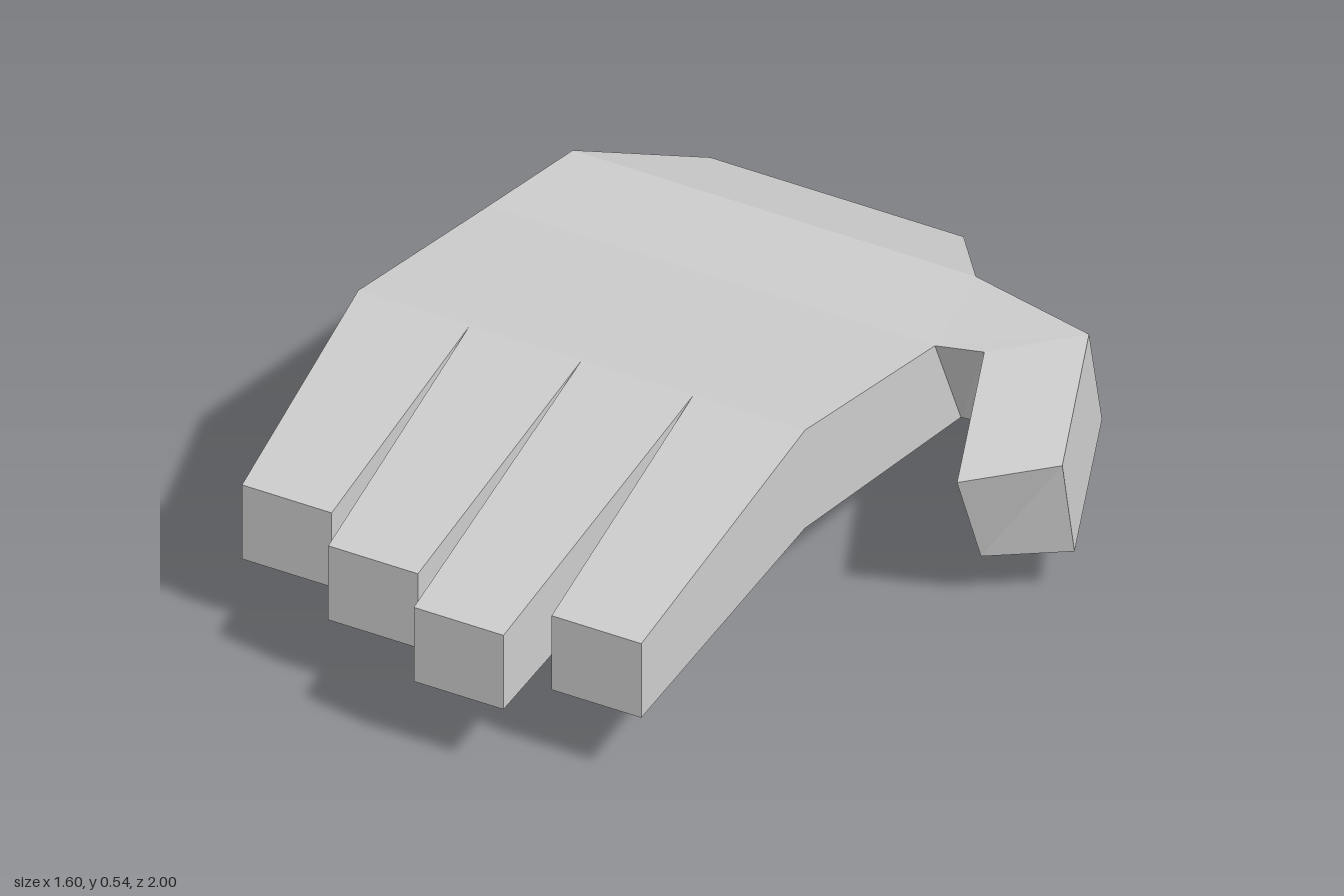
import * as THREE from 'three';

// Lofts four-cornered sections (top first, top second, bottom second, bottom first).
function loft(sections, { startCap = false, endCap = false } = {}) {
  const pos = [];
  const quad = (a, b, c, d) => pos.push(...a, ...b, ...c, ...a, ...c, ...d);
  for (let s = 0; s < sections.length - 1; s++) {
    const a = sections[s], b = sections[s + 1];
    for (let i = 0; i < 4; i++) {
      const j = (i + 1) % 4;
      quad(a[i], b[i], b[j], a[j]);
    }
  }
  if (startCap) quad(...sections[0]);
  if (endCap) quad(...[...sections[sections.length - 1]].reverse());
  const geo = new THREE.BufferGeometry();
  geo.setAttribute('position', new THREE.Float32BufferAttribute(pos, 3));
  geo.computeVertexNormals();
  return geo;
}

// Section across x, with separate depths for its top and bottom edges.
const across = (x0, x1, yTop, zTop, yBottom, zBottom = zTop) => [
  [x0, yTop, zTop], [x1, yTop, zTop], [x1, yBottom, zBottom], [x0, yBottom, zBottom],
];

export function createModel() {
  const hand = new THREE.Group();
  hand.name = 'hand';
  const skin = new THREE.MeshStandardMaterial({ color: 0xcccccc, flatShading: true });
  skin.name = 'light grey';

  const add = (name, geometry) => {
    const mesh = new THREE.Mesh(geometry, skin);
    mesh.name = name;
    hand.add(mesh);
  };

  // Palm: wrist, heel, middle, knuckles
  const left = -0.8, right = 0.338;
  add('palm', loft([
    across(-0.555, 0.09, 0.27, -1, 0),
    across(-0.745, 0.282, 0.4, -0.71, 0.14, -0.77),
    across(left, right, 0.405, -0.42, 0.14, -0.54),
    across(left, right, 0.535, 0.177, 0.27),
  ], { startCap: true }));

  // Four tapering fingers, side by side along the knuckles
  const pitch = (right - left) / 4;
  const tipDepths = [0.763, 0.88, 1, 0.88];
  ['littleFinger', 'ringFinger', 'middleFinger', 'indexFinger'].forEach((name, i) => {
    const x0 = left + i * pitch, x1 = x0 + pitch;
    add(name, loft([
      across(x0, x1, 0.535, 0.177, 0.27),
      across(x0 + 0.028, x1 - 0.028, 0.37, tipDepths[i], 0.17),
    ], { endCap: true }));
  });

  // Thumb: leaves the side of the palm, then bends forward
  add('thumb', loft([
    [[right, 0.405, -0.42], [0.282, 0.4, -0.71], [0.282, 0.14, -0.77], [right, 0.14, -0.54]],
    [[0.45, 0.41, -0.445], [0.62, 0.41, -0.62], [0.62, 0.145, -0.68], [0.45, 0.145, -0.54]],
    [[0.627, 0.383, 0], [0.8, 0.383, -0.172], [0.8, 0.118, -0.228], [0.627, 0.118, -0.11]],
  ], { endCap: true }));

  return hand;
}
